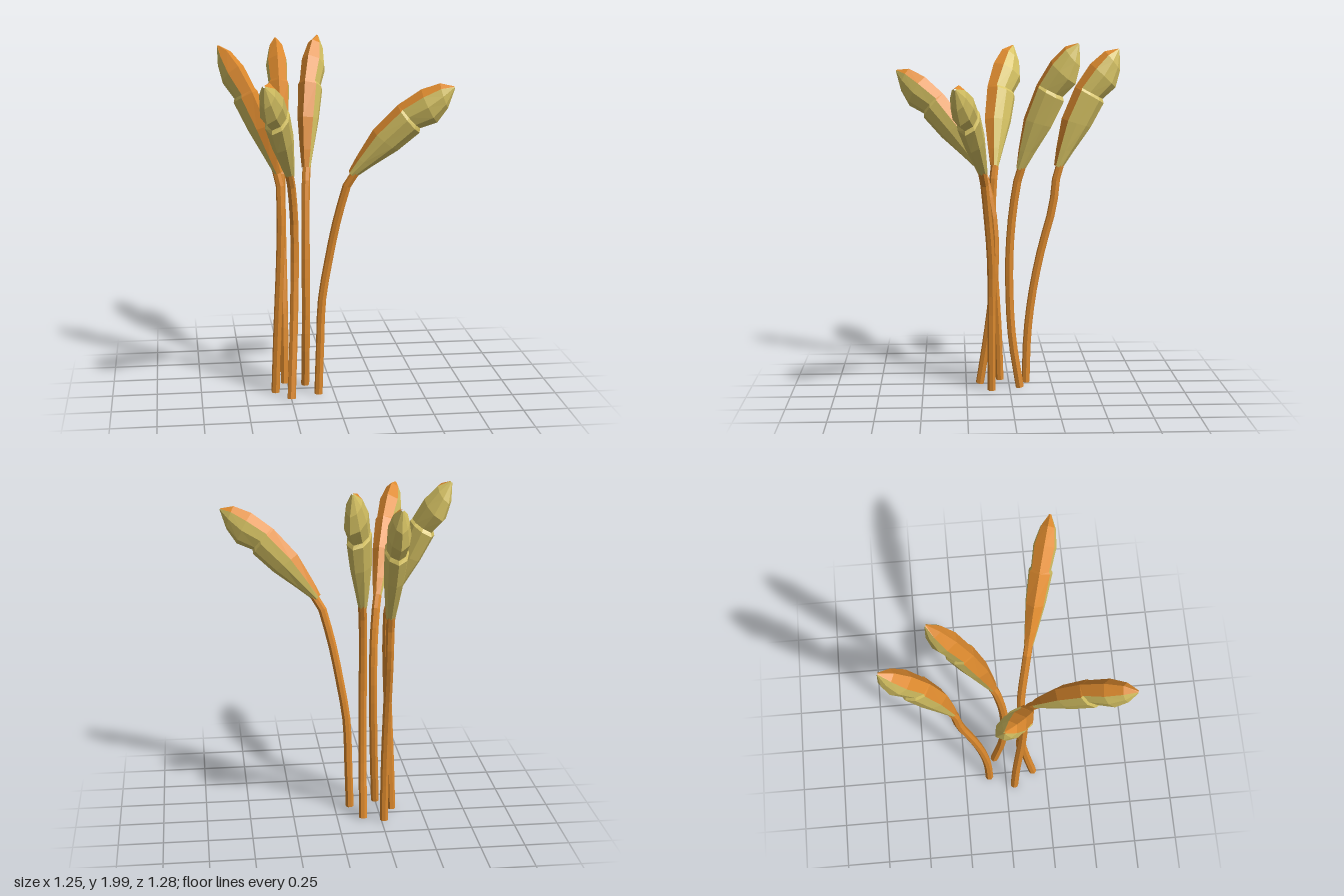
import * as THREE from 'three';

const orange = new THREE.MeshStandardMaterial({ color: 0xdd8a2e, flatShading: true });
const yellow = new THREE.MeshStandardMaterial({ color: 0xd8c464, flatShading: true });
const V = (x, y, z) => new THREE.Vector3(x, y, z);

const BUD_LENGTH = 0.737;
// bud stations: upper edge (along, out), lower edge (along, out), half width
const STATIONS = [
  [0, 0.026, 0, -0.025, 0.025],
  [0.085, 0.058, 0.119, -0.039, 0.037],
  [0.25, 0.11, 0.28, -0.062, 0.055],
  [0.44, 0.125, 0.432, -0.065, 0.064],
  [0.452, 0.124, 0.45, -0.048, 0.054],
  [0.592, 0.107, 0.54, -0.084, 0.062],
  [0.69, 0.066, 0.635, -0.062, 0.042],
  [0.737, 0.004, 0.733, -0.006, 0.006],
];
// cross-section: depth from upper to lower edge, sideways share of half width
const SECTION = [[0, 0], [0.2, 0.85], [0.5, 1], [0.82, 0.72], [1, 0], [0.82, -0.72], [0.5, -1], [0.2, -0.85]];

// heights shared by the stem points
const HEIGHTS = [0.008, 0.3, 0.55, 0.8, 1.05, 1.28];
const FLOWERS = [
  { name: 'rightward', x: [-0.09, -0.08, -0.07, -0.03, 0.02, 0.09], z: [0.105, 0.105, 0.105, 0.11, 0.13, 0.155],
    tip: [0.62, 1.77, 0.31], belly: [0.96, 0.27] },
  { name: 'leftward', x: [-0.33, -0.32, -0.31, -0.3, -0.295, -0.305], z: [0.05, 0.06, 0.075, 0.09, 0.095, 0.08],
    tip: [-0.62, 1.97, -0.04], belly: [-0.5, -0.87] },
  { name: 'forward', x: [-0.25, -0.235, -0.225, -0.22, -0.225, -0.25], z: [0.17, 0.125, 0.095, 0.08, 0.1, 0.16],
    tip: [-0.42, 1.83, 0.645], belly: [-0.4, 0.92] },
  { name: 'backward', x: [-0.265, -0.265, -0.265, -0.265, -0.262, -0.26], z: [-0.1, -0.11, -0.14, -0.19, -0.255, -0.285],
    tip: [-0.26, 1.955, -0.63], belly: [0, -1] },
  { name: 'upright', x: [-0.15, -0.15, -0.15, -0.15, -0.148, -0.138], z: [-0.06, -0.015, 0, 0, -0.02, -0.06],
    tip: [-0.04, 1.99, -0.38], belly: [0.45, -0.9] },
];

// skin a band of columns between consecutive rings
function loft(rings, columns) {
  const pts = [];
  for (let i = 0; i < rings.length - 1; i++) {
    for (const j of columns) {
      const k = (j + 1) % SECTION.length;
      const a = rings[i][j], b = rings[i][k], c = rings[i + 1][k], d = rings[i + 1][j];
      pts.push(a, b, c, a, c, d);
    }
  }
  const geometry = new THREE.BufferGeometry().setFromPoints(pts);
  geometry.computeVertexNormals();
  return geometry;
}

function addMesh(group, name, geometry, material) {
  const mesh = new THREE.Mesh(geometry, material);
  mesh.name = name;
  group.add(mesh);
  return mesh;
}

function makeFlower(f) {
  const group = new THREE.Group();
  group.name = f.name + 'Flower';
  const path = HEIGHTS.map((y, i) => V(f.x[i], y, f.z[i]));
  const start = path[path.length - 1];

  // bud frame: along the bud, towards its upper edge, sideways
  const along = V(...f.tip).sub(start);
  const scale = along.length() / BUD_LENGTH;
  along.normalize();
  const up = V(-f.belly[0], 0, -f.belly[1]);
  up.addScaledVector(along, -up.dot(along)).normalize();
  const side = along.clone().cross(up);

  // stem, ending just inside the bud
  const curve = new THREE.CatmullRomCurve3([...path, start.clone().addScaledVector(along, 0.04)]);
  addMesh(group, 'stem', new THREE.TubeGeometry(curve, 12, 0.024, 7), orange);
  const cap = addMesh(group, 'stemBase', new THREE.CircleGeometry(0.024, 7), orange);
  cap.position.copy(path[0]);
  cap.lookAt(path[0].clone().sub(curve.getTangent(0)));

  // bud: orange crest over a yellow pod and a swollen tip
  const rings = STATIONS.map(([us, ut, ls, lt, w]) => SECTION.map(([depth, sx]) =>
    start.clone()
      .addScaledVector(along, THREE.MathUtils.lerp(us, ls, depth) * scale)
      .addScaledVector(up, THREE.MathUtils.lerp(ut, lt, depth))
      .addScaledVector(side, sx * w)));
  const under = [1, 2, 3, 4, 5, 6];
  addMesh(group, 'budCrest', loft(rings, [7, 0]), orange);
  addMesh(group, 'budPod', loft(rings.slice(0, 5), under), yellow);
  addMesh(group, 'budTip', loft(rings.slice(4), under), yellow);
  return group;
}

export function createModel() {
  const model = new THREE.Group();
  model.name = 'flowerBuds';
  for (const f of FLOWERS) model.add(makeFlower(f));
  return model;
}
